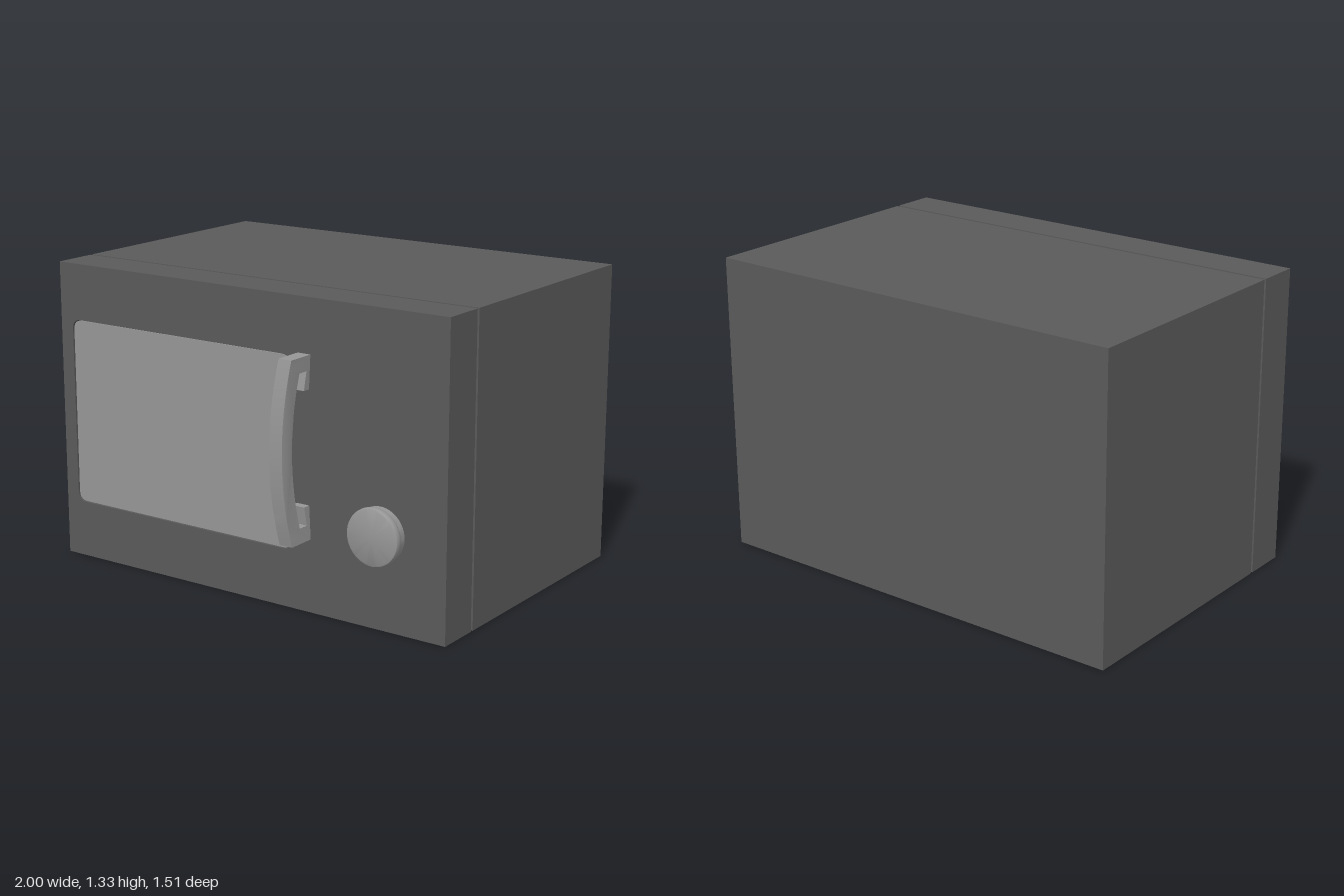
import * as THREE from 'three';
import { toCreasedNormals } from 'three/addons/utils/BufferGeometryUtils.js';

const mat = (name, color) => {
  const m = new THREE.MeshStandardMaterial({ color });
  m.name = name;
  return m;
};

// Rounded rectangle outline, usable as a shape or a hole
function roundedRect(Type, x0, y0, x1, y1, r) {
  const p = new Type();
  p.moveTo(x0 + r, y0);
  p.lineTo(x1 - r, y0);
  p.quadraticCurveTo(x1, y0, x1, y0 + r);
  p.lineTo(x1, y1 - r);
  p.quadraticCurveTo(x1, y1, x1 - r, y1);
  p.lineTo(x0 + r, y1);
  p.quadraticCurveTo(x0, y1, x0, y1 - r);
  p.lineTo(x0, y0 + r);
  p.quadraticCurveTo(x0, y0, x0 + r, y0);
  return p;
}

export function createModel() {
  const group = new THREE.Group();
  const dark = mat('dark grey casing', 0x5a5a5a);
  const light = mat('light grey trim', 0x969696);

  const add = (name, geometry, material, x = 0, y = 0, z = 0) => {
    const mesh = new THREE.Mesh(geometry, material);
    mesh.name = name;
    mesh.position.set(x, y, z);
    group.add(mesh);
    return mesh;
  };
  const box = (name, w, h, z0, z1) =>
    add(name, new THREE.BoxGeometry(w, h, z1 - z0), dark, 0, 0.667, (z0 + z1) / 2);

  // Casing, with a recessed core that leaves a groove behind the front
  box('casing', 2, 1.334, -0.755, 0.364);
  box('grooveCore', 1.976, 1.31, 0.36, 0.385);

  // Front slab with a window opening
  const front = new THREE.Shape();
  front.moveTo(-1, 0);
  front.lineTo(1, 0);
  front.lineTo(1, 1.334);
  front.lineTo(-1, 1.334);
  front.closePath();
  front.holes.push(roundedRect(THREE.Path, -0.935, 0.253, 0.247, 1.085, 0.045));
  add('front', new THREE.ExtrudeGeometry(front,
    { depth: 0.197, bevelEnabled: false, curveSegments: 6 }), dark, 0, 0, 0.378);

  // Window pane, set just inside the opening
  const pane = roundedRect(THREE.Shape, -0.932, 0.256, 0.244, 1.082, 0.044);
  add('window', new THREE.ExtrudeGeometry(pane,
    { depth: 0.009, bevelEnabled: false, curveSegments: 6 }), light, 0, 0, 0.561);

  // Bowed handle: side profile in (z, y), y measured from its middle
  const side = new THREE.Shape();
  side.moveTo(0.57, 0.39);
  side.lineTo(0.704, 0.39);
  side.quadraticCurveTo(0.806, 0, 0.704, -0.39);
  side.lineTo(0.57, -0.39);
  side.lineTo(0.57, -0.245);
  side.lineTo(0.61, -0.245);
  side.lineTo(0.597, -0.325);
  side.lineTo(0.645, -0.325);
  side.quadraticCurveTo(0.727, 0, 0.645, 0.325);
  side.lineTo(0.597, 0.325);
  side.lineTo(0.61, 0.245);
  side.lineTo(0.57, 0.245);
  side.closePath();
  const grip = new THREE.ExtrudeGeometry(side,
    { depth: 0.063, bevelEnabled: false, curveSegments: 20 });
  grip.rotateY(-Math.PI / 2);
  // Lean the bowed middle slightly toward the window
  const pos = grip.attributes.position;
  for (let i = 0; i < pos.count; i++) {
    const t = pos.getY(i) / 0.39;
    pos.setX(i, pos.getX(i) - 0.012 * (1 - t * t));
  }
  add('handle', toCreasedNormals(grip, 0.5), light, 0.346, 0.71, 0);

  // Round knob with a wider, softly rounded cap
  const profile = [
    [0, 0], [0.116, 0], [0.116, 0.032], [0.121, 0.036], [0.123, 0.043],
    [0.123, 0.055], [0.12, 0.062], [0.114, 0.065], [0, 0.065],
  ].map(([r, h]) => new THREE.Vector2(r, h));
  const knob = new THREE.LatheGeometry(profile, 48);
  knob.rotateX(Math.PI / 2);
  add('knob', toCreasedNormals(knob, 0.7), light, 0.688, 0.41, 0.574);

  return group;
}
